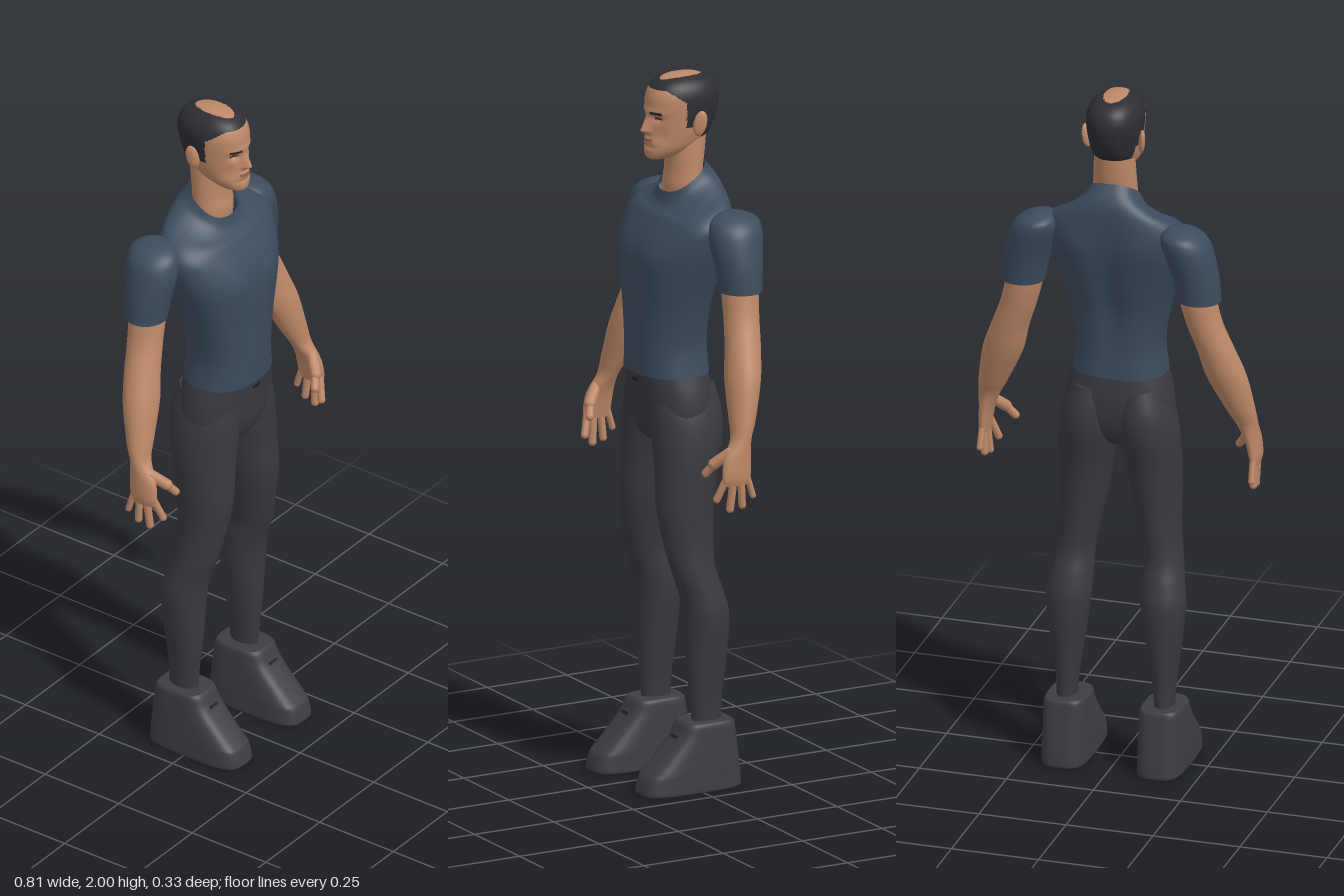
import * as THREE from 'three';

const mat = (name, color, side = THREE.FrontSide) =>
  Object.assign(new THREE.MeshStandardMaterial({ color, side }), { name });
const M = {
  skin: mat('skin', 0xbd8867),
  lips: mat('lips', 0x8f5f4a),
  hair: mat('hair', 0x2d2d33),
  shirt: mat('shirt', 0x3c4b5d, THREE.DoubleSide),
  trousers: mat('trousers', 0x3a393f),
  shoe: mat('shoe', 0x3e3d42),
  trim: mat('dark trim', 0x1f1f23),
};

const spline = (a, b, c, d, t) =>
  0.5 * (2 * b + (c - a) * t + (2 * a - 5 * b + 4 * c - d) * t * t + (3 * b - a - 3 * c + d) * t * t * t);
const bump = (d, w) => Math.exp(-(d * d) / (w * w));

// Skin stretched over rows [y, centreX, front z, back z, half width, backward rise], listed upwards
function loft(rows, { sides = 40, steps = 5, power = 2, deform = null, side = 1 } = {}) {
  const rings = [];
  for (let i = 0; i < rows.length - 1; i++) {
    const q = [i - 1, i, i + 1, i + 2].map((k) => rows[Math.min(Math.max(k, 0), rows.length - 1)]);
    const last = i === rows.length - 2 ? 1 : 0;
    for (let s = 0; s < steps + last; s++) {
      rings.push([0, 1, 2, 3, 4, 5].map((k) => spline(...q.map((r) => r[k] || 0), s / steps)));
    }
  }
  const pos = [], idx = [], v = new THREE.Vector3();
  const round = (c) => Math.sign(c) * Math.abs(c) ** (2 / power);
  for (const [y, cx, zf, zb, rx, rise] of rings) {
    for (let j = 0; j < sides; j++) {
      const a = (j / sides) * Math.PI * 2, dz = round(Math.sin(a)) * (zf - zb) / 2;
      v.set(side * cx + round(Math.cos(a)) * rx, y - rise * dz, (zf + zb) / 2 + dz);
      if (deform) deform(v);
      pos.push(v.x, v.y, v.z);
    }
  }
  for (let i = 0; i < rings.length - 1; i++) {
    for (let j = 0; j < sides; j++) {
      const a = i * sides + j, b = i * sides + (j + 1) % sides;
      idx.push(a, a + sides, b, b, a + sides, b + sides);
    }
  }
  // End caps with their own corners, so the rims stay crisp
  for (const top of [false, true]) {
    const from = top ? (rings.length - 1) * sides : 0, start = pos.length / 3, mid = [0, 0, 0];
    for (let j = 0; j < sides; j++) {
      for (let k = 0; k < 3; k++) {
        const c = pos[(from + j) * 3 + k];
        pos.push(c);
        mid[k] += c / sides;
      }
    }
    pos.push(...mid);
    for (let j = 0; j < sides; j++) {
      const a = start + j, b = start + (j + 1) % sides;
      idx.push(start + sides, top ? b : a, top ? a : b);
    }
  }
  const geo = new THREE.BufferGeometry();
  geo.setAttribute('position', new THREE.Float32BufferAttribute(pos, 3));
  geo.setIndex(idx);
  geo.computeVertexNormals();
  return geo;
}

// Sorts faces into material groups by a rule on the face centre
function paint(geo, count, rule) {
  const p = geo.attributes.position, old = geo.index.array, lists = Array.from({ length: count }, () => []);
  for (let i = 0; i < old.length; i += 3) {
    const t = [old[i], old[i + 1], old[i + 2]];
    const mean = (get) => t.reduce((s, k) => s + p[get](k), 0) / 3;
    lists[rule(mean('getX'), mean('getY'), mean('getZ'))].push(...t);
  }
  geo.setIndex(lists.flat());
  let start = 0;
  lists.forEach((l, m) => { geo.addGroup(start, l.length, m); start += l.length; });
  return geo;
}

// Face relief: nose, brow, eye sockets, lips and chin
function shapeFace(v) {
  if (v.z < 0) return;
  const { x, y } = v, ax = Math.abs(x), front = Math.min(1, v.z / 0.04);
  const nose = y > 1.848 ? Math.max(0, 1 - (y - 1.848) / 0.055) : Math.max(0, 1 - (1.848 - y) / 0.013);
  v.z += front * (0.026 * nose * bump(x, 0.013)
    + 0.005 * bump(y - 1.903, 0.009) * bump(x, 0.05)
    - 0.010 * bump(ax - 0.03, 0.014) * bump(y - 1.884, 0.010)
    + 0.006 * bump(y - 1.822, 0.010) * bump(x, 0.02)
    - 0.004 * bump(y - 1.803, 0.006) * bump(x, 0.03)
    - 0.005 * bump(ax - 0.045, 0.014) * bump(y - 1.835, 0.02));
}

// Hairline with a bald crown, brows, eyes and mouth: 0 skin, 1 hair, 2 lips
function faceColour(x, y, z) {
  const ax = Math.abs(x);
  if (y > 1.97 && (x / 0.032) ** 2 + ((z + 0.04) / 0.062) ** 2 < 1) return 0;
  const line = -0.02 + 0.05 * Math.max(0, (y - 1.93) / 0.035);
  if (y > 1.966 || (y > 1.86 && z < line) || (y > 1.815 && z < -0.075)) return 1;
  if (z < 0.02) return 0;
  if (ax > 0.014 && ax < 0.047 && Math.abs(y - 1.9) < 0.003) return 1;
  if (((ax - 0.031) / 0.011) ** 2 + ((y - 1.885) / 0.004) ** 2 < 1) return 1;
  return ax < 0.021 && Math.abs(y - 1.822) < 0.004 ? 2 : 0;
}

// Chest, spine groove and shoulder blades
function shapeTorso(v) {
  const ax = Math.abs(v.x);
  if (v.z > 0) v.z += 0.006 * bump(ax - 0.075, 0.05) * bump(v.y - 1.51, 0.06);
  else if (v.z < -0.05) {
    v.z += 0.016 * bump(v.x, 0.035) * bump(v.y - 1.42, 0.17)
      - 0.008 * bump(ax - 0.11, 0.05) * bump(v.y - 1.57, 0.06);
  }
}

export function createModel() {
  const model = new THREE.Group();
  const add = (name, geo, material, parent = model) => {
    const mesh = new THREE.Mesh(geo, material);
    mesh.name = name;
    parent.add(mesh);
    return mesh;
  };

  // Head and neck
  const head = loft([
    [1.765, 0, 0.056, 0.0, 0.018], [1.775, 0, 0.066, -0.03, 0.036], [1.8, 0, 0.067, -0.08, 0.055],
    [1.83, 0, 0.063, -0.118, 0.065], [1.87, 0, 0.06, -0.138, 0.072], [1.92, 0, 0.062, -0.15, 0.077],
    [1.95, 0, 0.057, -0.147, 0.075], [1.975, 0, 0.042, -0.132, 0.063], [1.992, 0, 0.01, -0.1, 0.041],
    [2.0, 0, -0.04, -0.05, 0.004],
  ], { sides: 120, steps: 12, power: 2.2, deform: shapeFace });
  add('head', paint(head, 3, faceColour), [M.skin, M.hair, M.lips]);
  add('neck', loft([
    [1.62, 0, 0.0, -0.1, 0.06], [1.68, 0, 0.006, -0.098, 0.064], [1.73, 0, 0.0, -0.1, 0.062],
    [1.78, 0, 0.0, -0.108, 0.059], [1.84, 0, 0.0, -0.115, 0.055],
  ]), M.skin);

  // Shirt body, rising to a collar that is higher at the back
  add('shirtBody', loft([
    [1.165, 0, 0.108, -0.1, 0.133], [1.25, 0, 0.11, -0.096, 0.123], [1.35, 0, 0.11, -0.102, 0.14],
    [1.43, 0, 0.111, -0.12, 0.163], [1.5, 0, 0.105, -0.135, 0.186], [1.555, 0, 0.087, -0.143, 0.2, 0.03],
    [1.6, 0, 0.066, -0.145, 0.203, 0.1], [1.635, 0, 0.05, -0.145, 0.175, 0.22],
    [1.66, 0, 0.035, -0.14, 0.125, 0.4], [1.685, 0, 0.022, -0.122, 0.085, 0.6],
    [1.71, 0, 0.014, -0.102, 0.069, 0.7],
  ].map((r) => r), { sides: 64, power: 2.35, deform: shapeTorso }).clone(), M.shirt);

  // Trousers: hips and waist button
  add('hips', loft([
    [0.95, 0, 0.02, -0.05, 0.02], [0.98, 0, 0.07, -0.08, 0.08], [1.03, 0, 0.09, -0.1, 0.148],
    [1.1, 0, 0.097, -0.105, 0.151], [1.178, 0, 0.104, -0.095, 0.129],
  ], { sides: 48, power: 2.3 }), M.trousers);
  add('waistButton', new THREE.BoxGeometry(0.03, 0.008, 0.008), M.trim).position.set(0, 1.145, 0.1);

  for (const side of [1, -1]) {
    const limb = new THREE.Group();
    limb.name = side > 0 ? 'leftLimbs' : 'rightLimbs';
    model.add(limb);

    // Ear
    const ear = add('ear', new THREE.SphereGeometry(1, 16, 12), M.skin, limb);
    ear.scale.set(0.009, 0.037, 0.019);
    ear.position.set(side * 0.079, 1.869, -0.058);
    ear.rotation.set(-0.2, side * -0.35, side * -0.12);

    // Sleeve
    add('sleeve', loft([
      [1.433, 0.253, -0.028, -0.146, 0.062], [1.5, 0.243, -0.02, -0.153, 0.065],
      [1.56, 0.227, -0.012, -0.163, 0.068], [1.6, 0.214, -0.015, -0.167, 0.067],
      [1.625, 0.204, -0.03, -0.16, 0.054], [1.64, 0.197, -0.06, -0.13, 0.03], [1.644, 0.195, -0.09, -0.1, 0.005],
    ], { side }), M.shirt, limb);

    // Arm and palm
    add('arm', loft([
      [0.925, 0.388, 0.04, -0.035, 0.011], [0.95, 0.388, 0.046, -0.041, 0.016],
      [1.0, 0.382, 0.038, -0.045, 0.021], [1.05, 0.37, 0.008, -0.05, 0.031],
      [1.1, 0.354, 0.002, -0.07, 0.042], [1.2, 0.321, -0.006, -0.102, 0.057],
      [1.28, 0.296, -0.02, -0.118, 0.053], [1.36, 0.267, -0.032, -0.13, 0.051],
      [1.43, 0.25, -0.035, -0.137, 0.052], [1.48, 0.245, -0.04, -0.135, 0.05],
    ], { side }), M.skin, limb);

    // Fingers and thumb, from knuckle to tip
    const fingers = [
      ['indexFinger', [0.386, 0.945, 0.034], [0.367, 0.885, 0.053], 0.0105],
      ['middleFinger', [0.389, 0.94, 0.013], [0.382, 0.857, 0.02], 0.011],
      ['ringFinger', [0.39, 0.94, -0.01], [0.386, 0.864, -0.016], 0.0105],
      ['littleFinger', [0.389, 0.945, -0.03], [0.39, 0.889, -0.047], 0.009],
      ['thumbBase', [0.375, 1.015, 0.015], [0.345, 0.98, 0.05], 0.016],
      ['thumb', [0.347, 0.983, 0.047], [0.322, 0.95, 0.063], 0.0115],
    ];
    for (const [name, from, to, r] of fingers) {
      const a = new THREE.Vector3(...from), b = new THREE.Vector3(...to);
      a.x *= side;
      b.x *= side;
      const dir = b.clone().sub(a);
      const finger = add(name, new THREE.CapsuleGeometry(r, dir.length(), 6, 12), M.skin, limb);
      finger.position.copy(a).lerp(b, 0.5);
      finger.quaternion.setFromUnitVectors(new THREE.Vector3(0, 1, 0), dir.normalize());
    }

    // Trouser leg with buttock, knee and calf
    add('trouserLeg', loft([
      [0.17, 0.14, 0.0, -0.086, 0.026], [0.25, 0.139, 0.006, -0.089, 0.032],
      [0.35, 0.138, 0.015, -0.1, 0.046], [0.48, 0.136, 0.02, -0.109, 0.063],
      [0.55, 0.131, 0.032, -0.095, 0.061], [0.62, 0.126, 0.055, -0.073, 0.055],
      [0.7, 0.114, 0.073, -0.073, 0.058], [0.8, 0.104, 0.088, -0.08, 0.068],
      [0.9, 0.096, 0.086, -0.094, 0.077], [0.99, 0.085, 0.088, -0.115, 0.084],
      [1.06, 0.078, 0.088, -0.117, 0.078], [1.13, 0.07, 0.08, -0.1, 0.06],
    ], { side }), M.trousers, limb);

    // Shoe with sloping toe
    add('shoe', loft([
      [0, 0.137, 0.162, -0.135, 0.064], [0.008, 0.137, 0.165, -0.138, 0.066],
      [0.045, 0.137, 0.155, -0.135, 0.065], [0.06, 0.137, 0.142, -0.133, 0.065],
      [0.1, 0.137, 0.102, -0.128, 0.063], [0.15, 0.137, 0.057, -0.121, 0.061],
      [0.183, 0.137, 0.04, -0.116, 0.059], [0.192, 0.137, 0.032, -0.109, 0.053],
    ], { sides: 48, steps: 4, power: 3.6, side }), M.shoe, limb);
    const lace = add('lace', new THREE.BoxGeometry(0.03, 0.008, 0.009), M.trim, limb);
    lace.position.set(side * 0.137, 0.152, 0.056);
    lace.rotation.x = -0.7;
  }

  // Open neck: drop the shirt's top cap so that the neck shows
  const shirt = model.getObjectByName('shirtBody').geometry;
  shirt.setIndex(Array.from(shirt.index.array).slice(0, -64 * 3));
  return model;
}
